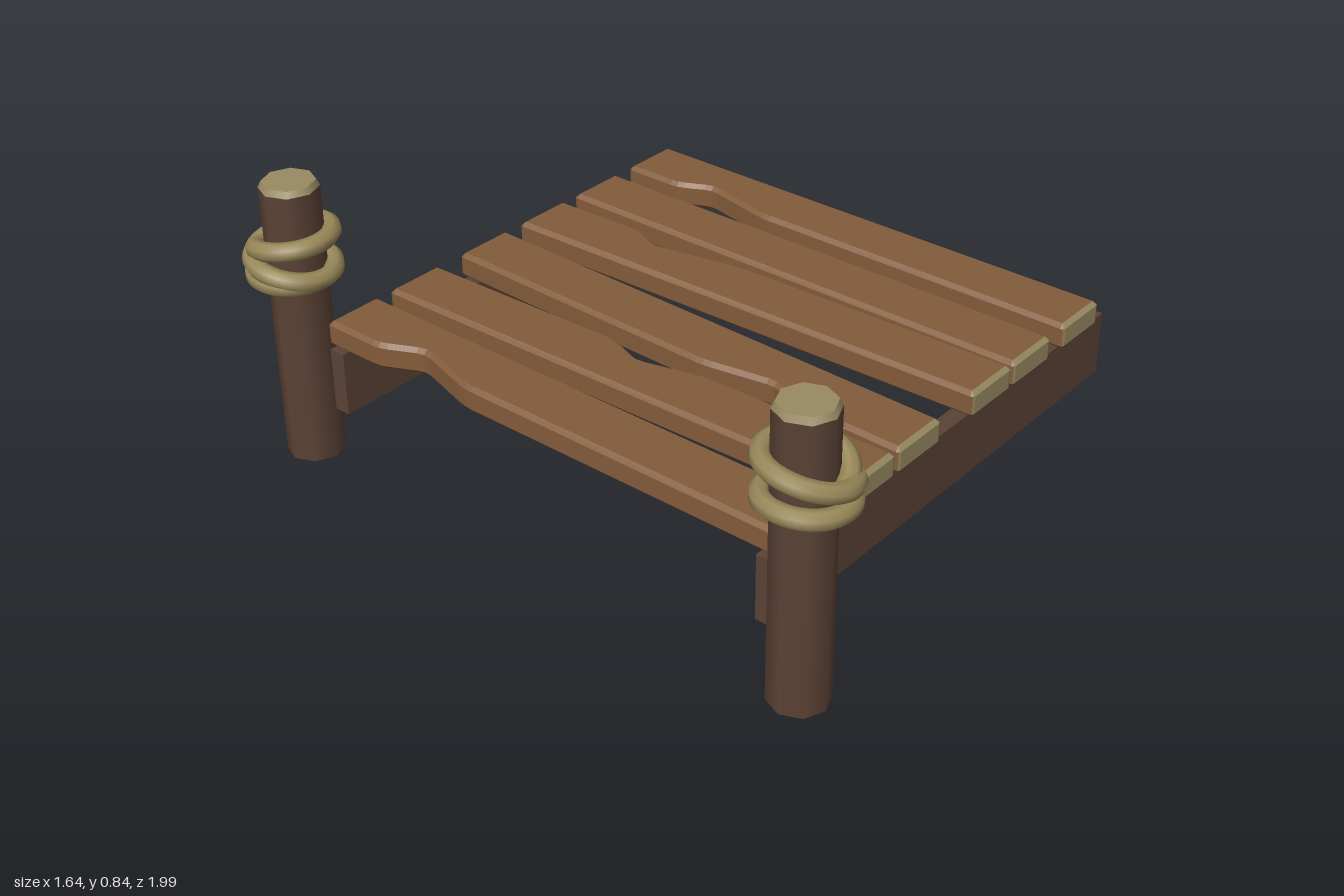
import * as THREE from 'three';

const mat = (name, color) => Object.assign(new THREE.MeshStandardMaterial({ color }), { name });

const add = (parent, name, geometry, material, x = 0, y = 0, z = 0) => {
  const mesh = new THREE.Mesh(geometry, material);
  mesh.name = name;
  mesh.position.set(x, y, z);
  parent.add(mesh);
  return mesh;
};

// Closed outline of [x, z, cornerRadius] points with softened corners
function softOutline(points) {
  const shape = new THREE.Shape();
  const pts = points.map(([x, z, r]) => ({ p: new THREE.Vector2(x, -z), r }));
  pts.forEach(({ p, r }, i) => {
    const toward = (q) => q.clone().sub(p).setLength(r).add(p);
    const a = toward(pts[(i + pts.length - 1) % pts.length].p);
    const b = toward(pts[(i + 1) % pts.length].p);
    if (i === 0) shape.moveTo(a.x, a.y);
    else shape.lineTo(a.x, a.y);
    shape.quadraticCurveTo(p.x, p.y, b.x, b.y);
  });
  shape.closePath();
  return shape;
}

// Bevelled board; faces pointing along z go to material group 1 (end grain)
function plankGeometry({ back, front, leftNotch = [], rightNotch = [] }) {
  const zBack = -0.757, zFront = 0.8, c = 0.01, bevel = 0.012;
  const soft = ([x, z]) => [x, z, 0.025];
  const shape = softOutline([
    [back[0], zBack, c], ...leftNotch.map(soft), [front[0], zFront, c],
    [front[1], zFront, c], ...[...rightNotch].reverse().map(soft), [back[1], zBack, c],
  ]);
  const geo = new THREE.ExtrudeGeometry(shape, {
    depth: 0.078 - 2 * bevel, curveSegments: 2, bevelEnabled: true, bevelSegments: 1,
    bevelSize: bevel, bevelThickness: bevel, bevelOffset: -bevel,
  });
  geo.rotateX(-Math.PI / 2).translate(0, 0.367 + bevel, 0);
  const normal = geo.attributes.normal;
  const sides = [], ends = [];
  for (let i = 0; i < normal.count; i += 3) {
    (Math.abs(normal.getZ(i)) > 0.6 ? ends : sides).push(i, i + 1, i + 2);
  }
  geo.setIndex([...sides, ...ends]);
  geo.clearGroups();
  geo.addGroup(0, sides.length, 0);
  geo.addGroup(sides.length, ends.length, 1);
  return geo;
}

// Loose coil: heights at every quarter turn, from the front round by +x
function ropeCurve() {
  const heights = [0.63, 0.672, 0.69, 0.685, 0.64, 0.612, 0.582, 0.59, 0.58, 0.577, 0.575];
  const radii = [0.092, 0.102, 0.108, 0.108, 0.11, 0.108, 0.108, 0.108, 0.106, 0.106, 0.098];
  const h = new THREE.SplineCurve(heights.map((y, i) => new THREE.Vector2(y, radii[i])));
  const points = [];
  const steps = 60;
  for (let i = 0; i <= steps; i++) {
    const t = i / steps;
    const { x: y, y: r } = h.getPoint(t);
    const a = t * (heights.length - 1) * Math.PI / 2;
    points.push(new THREE.Vector3(r * Math.sin(a), y, r * Math.cos(a)));
  }
  return new THREE.CatmullRomCurve3(points);
}

export function createModel() {
  const model = new THREE.Group();
  model.name = 'woodenDock';
  const plankWood = mat('plank brown', 0x835c3b);
  const darkWood = mat('dark wood', 0x5b4235);
  const cutWood = mat('cut wood', 0x998a62);
  const ropeTan = mat('rope tan', 0x998859);

  // Deck planks, each with its own slant and worn notch
  const planks = [
    { back: [-0.67, -0.49], front: [-0.67, -0.49], leftNotch: [[-0.67, -0.56], [-0.612, -0.44], [-0.67, -0.24]] },
    { back: [-0.44, -0.257], front: [-0.405, -0.22], rightNotch: [[-0.24, -0.09], [-0.282, 0.02], [-0.235, 0.21]] },
    { back: [-0.165, 0.02], front: [-0.205, -0.02], leftNotch: [[-0.188, 0.16], [-0.152, 0.375], [-0.197, 0.47]] },
    { back: [0.083, 0.267], front: [0.128, 0.31], rightNotch: [[0.276, -0.45], [0.234, -0.355], [0.288, -0.09]] },
    { back: [0.322, 0.505], front: [0.322, 0.505] },
    { back: [0.572, 0.755], front: [0.572, 0.755], leftNotch: [[0.572, -0.565], [0.622, -0.465], [0.572, -0.235]] },
  ];
  planks.forEach((p, i) => add(model, `plank${i + 1}`, plankGeometry(p), [plankWood, cutWood]));

  // Cross beams under the deck
  const beam = new THREE.BoxGeometry(1.505, 0.19, 0.05);
  add(model, 'frontBeam', beam, darkWood, 0.067, 0.275, 0.757);
  add(model, 'backBeam', beam, darkWood, 0.067, 0.275, -0.713);

  // Mooring posts with rope coils; the back one is turned half round
  const shaft = new THREE.CylinderGeometry(0.082, 0.082, 0.822, 8);
  const cap = new THREE.CylinderGeometry(0.073, 0.082, 0.018, 8);
  const curve = ropeCurve();
  const rope = new THREE.TubeGeometry(curve, 120, 0.027, 8);
  const ropeEnd = new THREE.SphereGeometry(0.027, 8, 6);
  for (const [name, z, turn] of [['front', 0.857, 0], ['back', -0.857, Math.PI]]) {
    const post = new THREE.Group();
    post.name = `${name}Post`;
    post.position.set(-0.672, 0, z);
    post.rotation.y = turn;
    add(post, 'shaft', shaft, darkWood, 0, 0.411, 0);
    add(post, 'cutTop', cap, cutWood, 0, 0.831, 0);
    const coil = new THREE.Group();
    coil.name = 'ropeCoil';
    coil.position.x = 0.01;
    add(coil, 'rope', rope, ropeTan);
    for (const t of [0, 1]) add(coil, 'ropeEnd', ropeEnd, ropeTan, ...curve.getPoint(t).toArray());
    post.add(coil);
    model.add(post);
  }
  return model;
}
